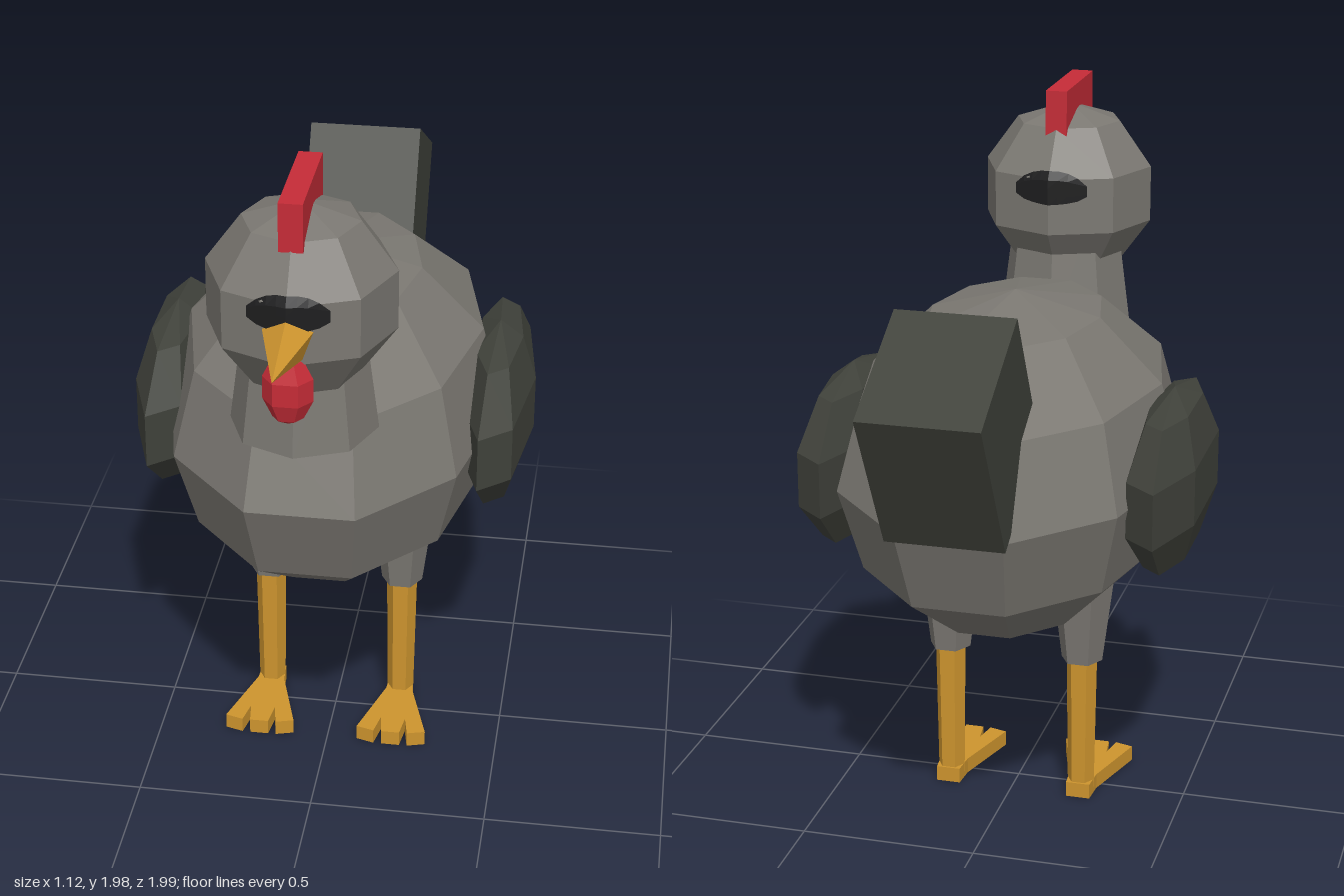
import * as THREE from 'three';

const X0 = -0.007; // small sideways offset of the whole bird

export function createModel() {
  const hen = new THREE.Group();
  hen.name = 'hen';

  const material = (name, color) => {
    const m = new THREE.MeshStandardMaterial({ color });
    m.name = name;
    return m;
  };
  const grey = material('grey plumage', 0x7b7872);
  const dark = material('dark feathers', 0x40423b);
  const red = material('red skin', 0xc62c37);
  const gold = material('golden horn', 0xcd942e);
  const black = material('black eye patch', 0x1e1e1f);

  // Faceted mesh: every face gets its own normal
  const add = (name, geometry, mat, x, y, z, parent = hen) => {
    const flat = geometry.index ? geometry.toNonIndexed() : geometry;
    flat.computeVertexNormals();
    const mesh = new THREE.Mesh(flat, mat);
    mesh.name = name;
    mesh.position.set(x, y, z);
    parent.add(mesh);
    return mesh;
  };
  const ellipsoid = (rx, ry, rz, w, h) =>
    new THREE.SphereGeometry(1, w, h).scale(rx, ry, rz);

  // Body, neck and head
  add('body', ellipsoid(0.48, 0.48, 0.715, 10, 6), grey, X0, 1.04, -0.06);
  add('neck', new THREE.CylinderGeometry(0.15, 0.197, 0.36, 8), grey, X0, 1.45, 0.515);
  add('head', ellipsoid(0.26, 0.26, 0.26, 8, 5), grey, X0, 1.66, 0.545);

  // Comb, wattle and beak
  add('comb', new THREE.BoxGeometry(0.062, 0.13, 0.32), red, X0, 1.915, 0.55);
  add('wattle', ellipsoid(0.068, 0.1, 0.052, 6, 5), red, X0, 1.507, 0.772);
  const beak = new THREE.ConeGeometry(0.072, 0.25, 5).rotateY(Math.PI).rotateX(Math.PI / 2);
  add('beak', beak, gold, X0, 1.645, 0.875);

  // Eye patches, wrapped over the faceted front and back of the head
  const patch = () => {
    const g = new THREE.PlaneGeometry(2, 2, 8, 4);
    const p = g.attributes.position;
    for (let i = 0; i < p.count; i++) {
      const u = p.getX(i);
      const x = u * 0.105;
      const y = 0.057 - 0.012 * u * u + p.getY(i) * 0.048 * Math.sqrt(1 - 0.9 * u * u);
      const radius = 0.2473 - Math.max(0, y - 0.08) * 0.73;
      p.setXYZ(i, x, y, radius - 0.414 * Math.abs(x) + 0.004);
    }
    return g;
  };
  add('frontEyePatch', patch(), black, X0, 1.66, 0.545);
  add('backEyePatch', patch().rotateY(Math.PI), black, X0, 1.66, 0.545);

  // Tail block, leaning back
  add('tail', new THREE.BoxGeometry(0.325, 0.457, 0.39), dark, X0, 1.325, -0.71)
    .rotation.x = -0.505;

  // Foot outline: narrow heel fanning out to three blunt toes
  const outline = [
    [-0.035, -0.04], [0.035, -0.04], [0.04, 0.03], [0.102, 0.235], [0.05, 0.25],
    [0.036, 0.18], [0.027, 0.25], [-0.027, 0.25], [-0.036, 0.18], [-0.05, 0.25],
    [-0.102, 0.235], [-0.04, 0.03],
  ].map(([x, z]) => new THREE.Vector2(x, -z));
  const footShape = new THREE.Shape(outline);

  for (const [side, s] of [['left', 1], ['right', -1]]) {
    // Wing: seven sides, the same way round on both flanks
    const wing = ellipsoid(0.11, 0.255, 0.415, 7, 5).rotateY(0);
    wing.scale(-1, 1, -1); // half turn, keeps the face order
    add(side + 'Wing', wing, dark, X0 + s * 0.46, 1.035, -0.1);

    const leg = new THREE.Group();
    leg.name = side + 'Leg';
    leg.position.set(X0 + s * 0.197, 0, -0.06);
    hen.add(leg);
    const turn = Math.PI / 6;
    add(side + 'Thigh', new THREE.CylinderGeometry(0.1, 0.06, 0.32, 6).rotateY(turn), grey, 0, 0.59, 0, leg);
    add(side + 'Shin', new THREE.CylinderGeometry(0.045, 0.039, 0.42, 6).rotateY(turn), gold, 0, 0.23, 0, leg);
    const foot = new THREE.ExtrudeGeometry(footShape, { depth: 0.045, bevelEnabled: false });
    add(side + 'Foot', foot.rotateX(-Math.PI / 2), gold, 0, 0, 0, leg);
  }

  return hen;
}
